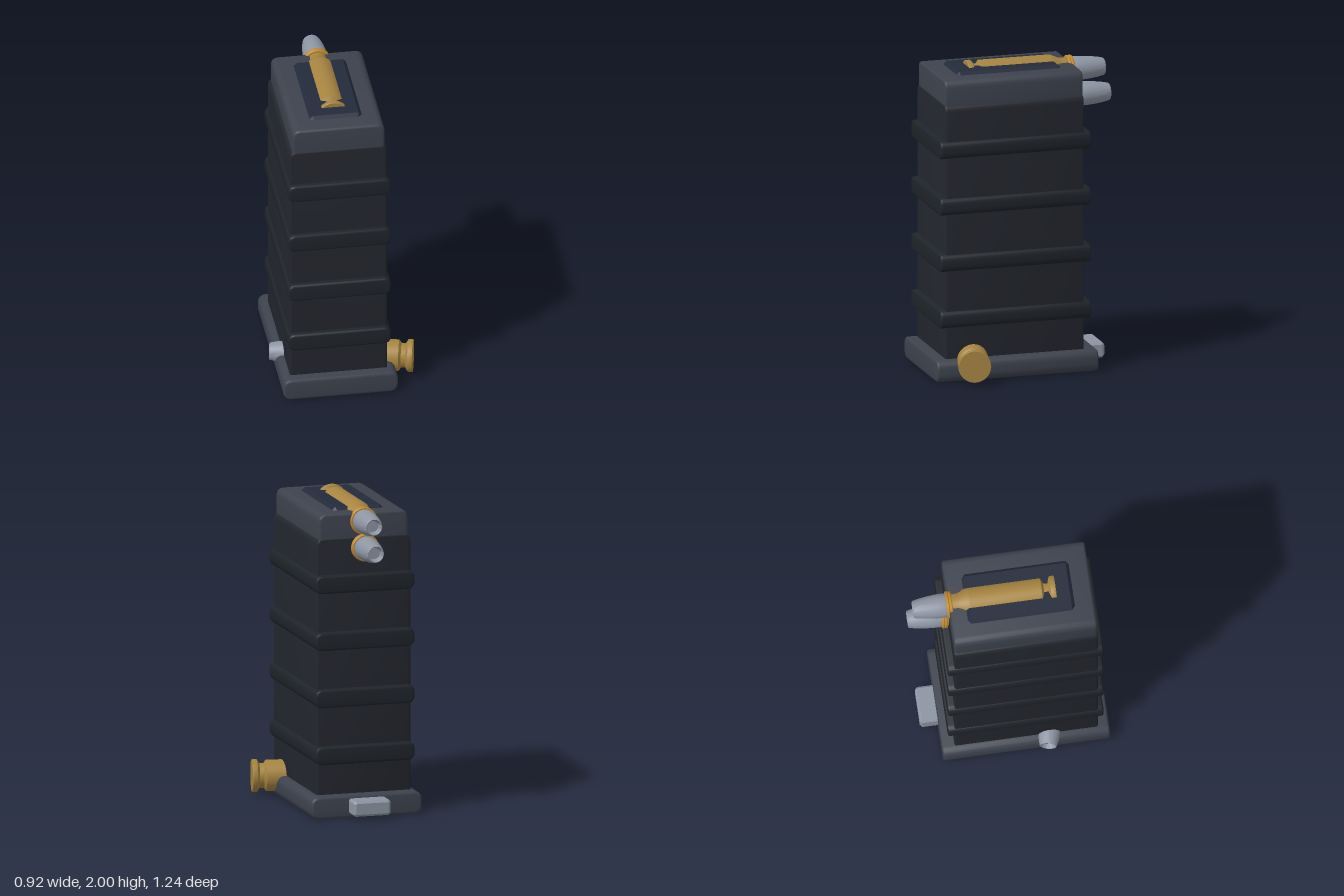
import * as THREE from 'three';
import { toCreasedNormals } from 'three/addons/utils/BufferGeometryUtils.js';

const mat = (color) => new THREE.MeshStandardMaterial({ color });
const darkBody = mat(0x23262e), darkRib = mat(0x1f242a), slate = mat(0x3d424d);
const navy = mat(0x232a3b), brass = mat(0xa68440), gold = mat(0xbd8a30), steel = mat(0x8d95a3);

// Block with rounded x-y corners (radius r) and bevelled front and back ends
function block(name, [x0, x1], [y0, y1], [z0, z1], r, bevel, material, segments = 5) {
  const w = (x1 - x0) / 2 - bevel, h = (y1 - y0) / 2 - bevel, q = r - bevel;
  const s = new THREE.Shape();
  s.moveTo(-w + q, -h);
  s.lineTo(w - q, -h);
  s.quadraticCurveTo(w, -h, w, -h + q);
  s.lineTo(w, h - q);
  s.quadraticCurveTo(w, h, w - q, h);
  s.lineTo(-w + q, h);
  s.quadraticCurveTo(-w, h, -w, h - q);
  s.lineTo(-w, -h + q);
  s.quadraticCurveTo(-w, -h, -w + q, -h);
  const geo = new THREE.ExtrudeGeometry(s, {
    depth: z1 - z0 - 2 * bevel, curveSegments: segments,
    bevelEnabled: true, bevelThickness: bevel, bevelSize: bevel, bevelSegments: segments > 1 ? 3 : 1,
  });
  geo.translate((x0 + x1) / 2, (y0 + y1) / 2, z0 + bevel);
  const mesh = new THREE.Mesh(toCreasedNormals(geo, segments > 1 ? 0.6 : 0.3), material);
  mesh.name = name;
  return mesh;
}

// Turned part along z, profile given as [z, radius] from the tip to the head
function turned(name, profile, material) {
  const points = profile.map(([z, r]) => new THREE.Vector2(r, z));
  const geo = new THREE.LatheGeometry(points, 40).rotateX(Math.PI / 2);
  const mesh = new THREE.Mesh(toCreasedNormals(geo, 0.45), material);
  mesh.name = name;
  return mesh;
}

// One round: rimmed case, collar and hollow-tipped bullet
function cartridge(name, x, y, z, turn = 0) {
  const g = new THREE.Group();
  g.name = name;
  g.add(
    turned('case', [
      [-0.37, 0], [-0.37, 0.071], [-0.3, 0.073], [-0.28, 0.078], [-0.235, 0.098], [-0.22, 0.1],
      [0.235, 0.1], [0.25, 0.079], [0.278, 0.078], [0.292, 0.102], [0.298, 0.104],
      [0.321, 0.104], [0.325, 0.101], [0.325, 0],
    ], brass),
    turned('collar', [
      [-0.374, 0.06], [-0.374, 0.083], [-0.368, 0.088], [-0.358, 0.088], [-0.354, 0.083],
      [-0.35, 0.088], [-0.341, 0.088], [-0.335, 0.083], [-0.335, 0.06],
    ], gold),
    turned('bullet', [
      [-0.55, 0], [-0.55, 0.036], [-0.581, 0.046], [-0.585, 0.05], [-0.58, 0.055], [-0.54, 0.064],
      [-0.49, 0.071], [-0.43, 0.076], [-0.385, 0.077], [-0.368, 0.074], [-0.368, 0],
    ], steel),
  );
  g.position.set(x, y, z);
  g.rotation.y = turn;
  return g;
}

export function createModel() {
  const model = new THREE.Group();
  model.name = 'magazine';

  // Casing
  model.add(
    block('body', [-0.37, 0.25], [0.1, 1.81], [-0.362, 0.552], 0.045, 0.012, darkBody),
    block('lid', [-0.352, 0.235], [1.74, 1.95], [-0.36, 0.55], 0.05, 0.015, slate),
    block('basePlate', [-0.422, 0.31], [0.005, 0.147], [-0.442, 0.623], 0.055, 0.016, slate),
  );

  // The lid shows in full down to the top of the body
  const body = model.getObjectByName('body');
  body.scale.y = 1.795 / 1.81;

  // Ribs round the body
  for (let i = 0; i < 4; i++) {
    const y = 0.4025 + i * 0.3673;
    model.add(block('rib', [-0.385, 0.27], [y - 0.058, y + 0.058], [-0.405, 0.588], 0.045, 0.014, darkRib));
  }

  // Top pad and rear catch with plain chamfers
  model.add(
    block('topPad', [-0.226, 0.112], [1.9, 1.97], [-0.253, 0.43], 0.03, 0.02, navy, 1),
    block('rearCatch', [-0.18, 0.065], [0.03, 0.13], [-0.555, -0.3], 0.02, 0.015, steel, 1),
  );

  // Rounds at the top, and one lying across the base
  model.add(
    cartridge('topRound', -0.058, 1.897, 0),
    cartridge('secondRound', -0.058, 1.73, -0.035),
    cartridge('baseRound', 0.12, 0.132, 0.347, 1.356),
  );
  return model;
}
